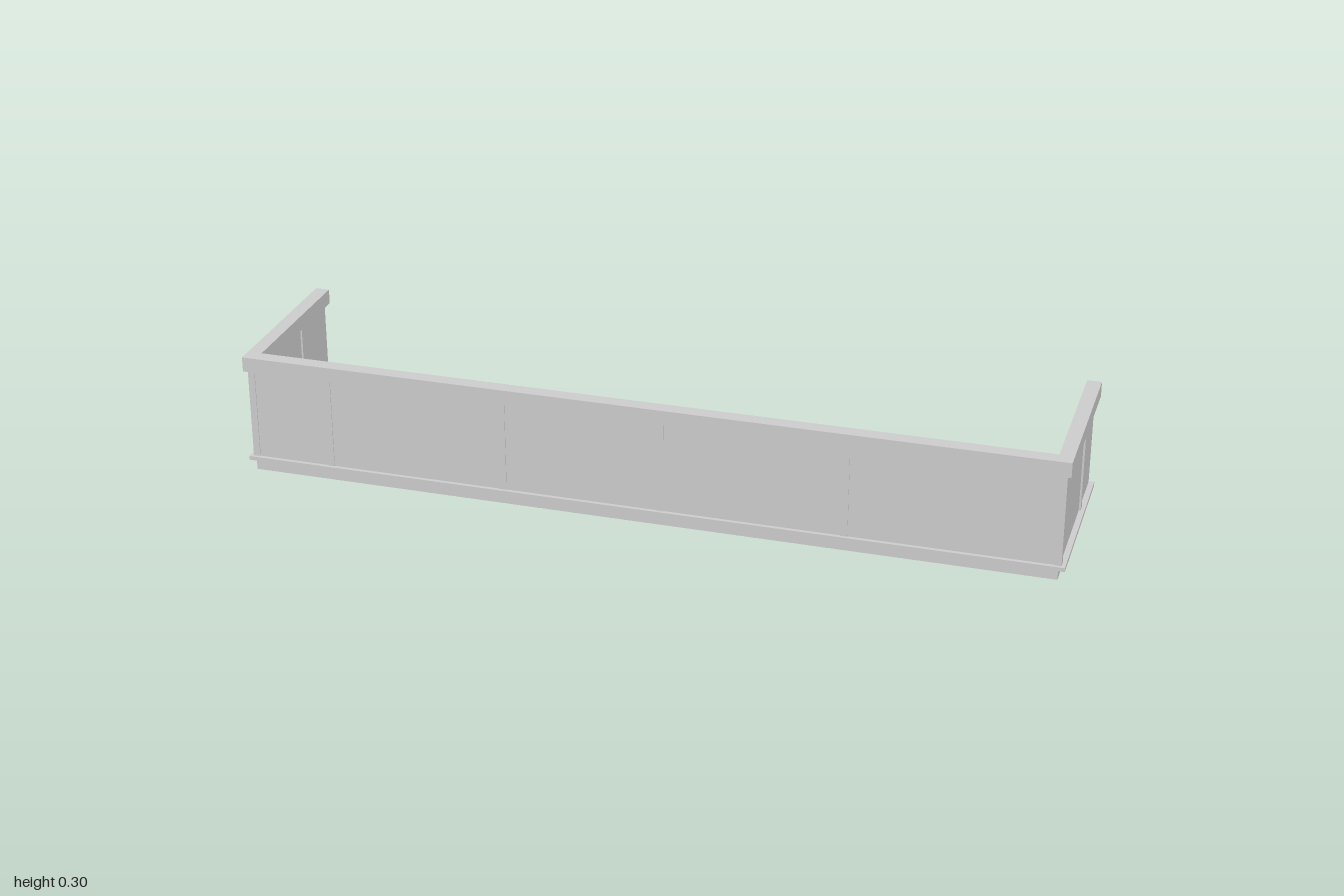
import * as THREE from 'three';

const material = new THREE.MeshStandardMaterial({ color: 0xcccccc, flatShading: true });

export function createModel() {
  const model = new THREE.Group();
  model.name = 'balcony';

  // Box given by its minimum and maximum corners
  function box(name, x0, x1, y0, y1, z0, z1) {
    const mesh = new THREE.Mesh(new THREE.BoxGeometry(x1 - x0, y1 - y0, z1 - z0), material);
    mesh.position.set((x0 + x1) / 2, (y0 + y1) / 2, (z0 + z1) / 2);
    mesh.name = name;
    model.add(mesh);
  }

  const floorTop = 0.036, railBottom = 0.263, railTop = 0.3;
  const back = -0.222, halfPost = 0.0085;
  const frontZ = 0.208, sideX = 0.9825;

  // Floor: base slab with a thin projecting deck
  box('baseSlab', -0.984, 0.984, 0, 0.026, -0.217, 0.217);
  box('deck', -1, 1, 0.026, floorTop, -0.224, 0.224);

  // U-shaped handrail, open at the back
  const outline = [[-1, 0.224], [-1, -0.224], [1, -0.224], [1, 0.224],
    [0.965, 0.224], [0.965, -0.188], [-0.965, -0.188], [-0.965, 0.224]];
  const shape = new THREE.Shape(outline.map(([x, y]) => new THREE.Vector2(x, y)));
  const railGeometry = new THREE.ExtrudeGeometry(shape, { depth: railTop - railBottom, bevelEnabled: false });
  railGeometry.rotateX(-Math.PI / 2);
  const rail = new THREE.Mesh(railGeometry, material);
  rail.position.y = railBottom;
  rail.name = 'handrail';
  model.add(rail);

  function post(name, x, z) {
    box(name, x - halfPost, x + halfPost, floorTop, railBottom, z - halfPost, z + halfPost);
  }

  // Front posts with infill panels between them
  const postXs = [-sideX, -0.787, -0.345, 0.045, 0.487, sideX];
  postXs.forEach((x, i) => {
    post('frontPost', x, frontZ);
    if (i === 0) return;
    box('frontPanel', postXs[i - 1] + halfPost, x - halfPost, floorTop, railBottom, 0.207, 0.2145);
  });

  // Side walls: one post and two panels on each end
  const sidePostZ = -0.075;
  for (const s of [-1, 1]) {
    const x = s * sideX;
    post('sidePost', x, sidePostZ);
    box('sidePanel', x - 0.004, x + 0.004, floorTop, railBottom, sidePostZ + halfPost, frontZ - halfPost);
    box('sidePanel', x - 0.004, x + 0.004, floorTop, railBottom, back, sidePostZ - halfPost);
  }

  return model;
}
